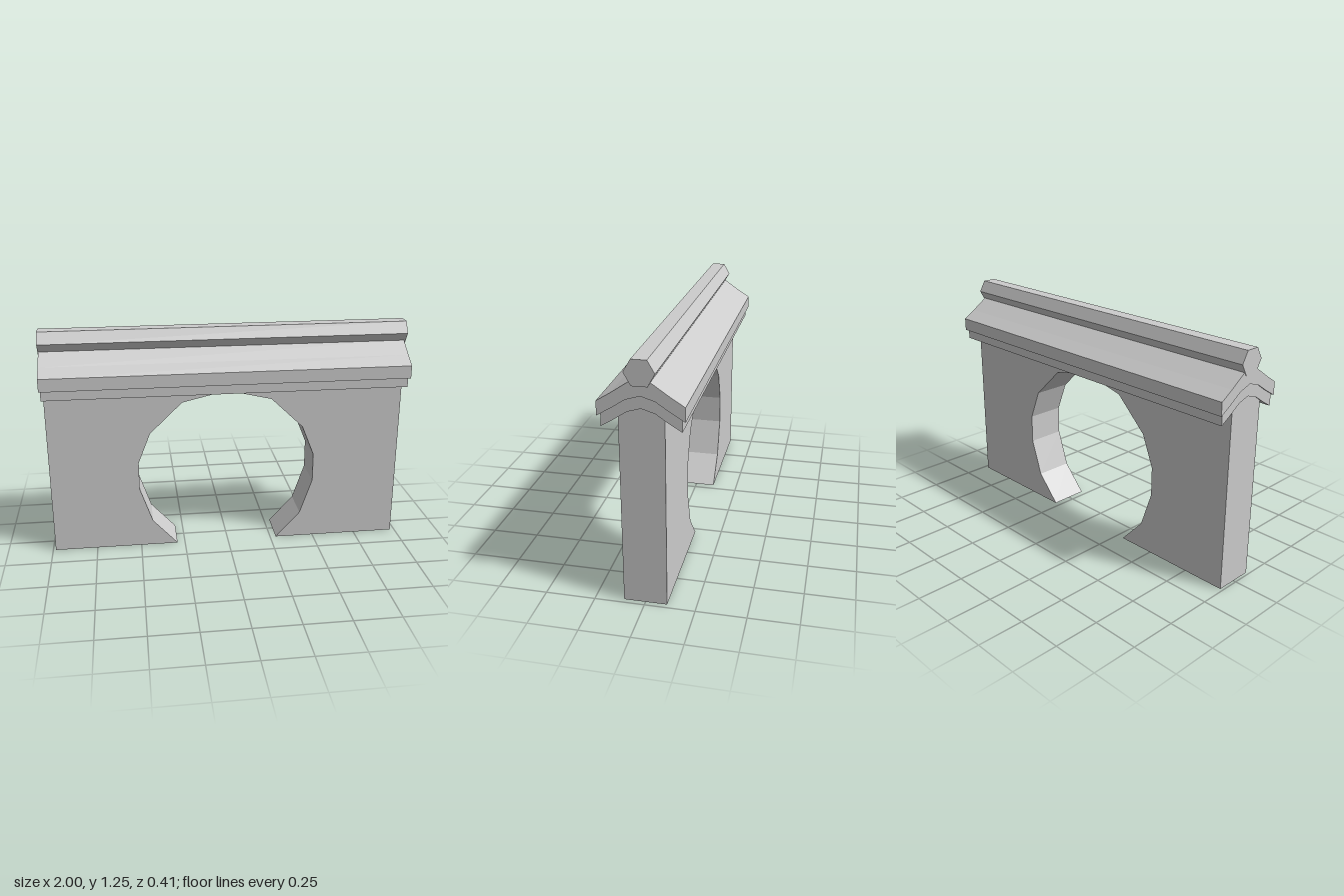
import * as THREE from 'three';

const material = new THREE.MeshStandardMaterial({ color: 0xcccccc, flatShading: true });

// Mirror a half profile [offset, height], listed from the outside to the middle
const mirrored = (half) => [
  ...half,
  ...half.filter(([a]) => a !== 0).reverse().map(([a, y]) => [-a, y]),
];

const shapeOf = (points) => new THREE.Shape(points.map(([a, b]) => new THREE.Vector2(a, b)));

// Extrude a cross-section (z, y) along x between two ends
function beam(name, points, x0, x1) {
  const geometry = new THREE.ExtrudeGeometry(shapeOf(points), { depth: x1 - x0, bevelEnabled: false });
  geometry.rotateY(Math.PI / 2).translate(x0, 0, 0);
  const mesh = new THREE.Mesh(geometry, material);
  mesh.name = name;
  return mesh;
}

export function createModel() {
  const group = new THREE.Group();
  group.name = 'moonGateWall';

  // Curves of the roof layers, from eave to ridge
  const lowerUnder = [[0.187, 0.917], [0.13, 0.951], [0.065, 0.995], [0, 1.015]];
  const upperUnder = [[0.203, 0.97], [0.135, 1.011], [0.068, 1.056], [0, 1.077]];
  const upperTop = [[0.203, 1.04], [0.135, 1.083], [0.045, 1.145], [0, 1.158]];
  const lowerTop = [[0.187, 0.98], ...upperUnder.slice(1)];
  const layer = (under, top) => [...mirrored(under), ...mirrored(top).reverse()];

  // Wall with a faceted round opening that reaches the ground
  const wallTop = 0.965, halfDepth = 0.1075, cx = -0.005;
  const opening = mirrored([
    [0.288, 0], [0.425, 0.15], [0.493, 0.35], [0.493, 0.51], [0.425, 0.68], [0.246, 0.852], [0, 0.91],
  ]);
  const outline = [[-0.98, 0], [-0.98, wallTop], [0.98, wallTop], [0.98, 0], ...opening];
  const wallGeometry = new THREE.ExtrudeGeometry(shapeOf(outline), { depth: 2 * halfDepth, bevelEnabled: false });
  wallGeometry.translate(cx, 0, -halfDepth);
  const wall = new THREE.Mesh(wallGeometry, material);
  wall.name = 'wall';
  group.add(wall);

  // Wall crown filling the space below the roof
  const crown = mirrored([[halfDepth, wallTop], [0.065, 0.995], [0, 1.015]]);
  group.add(beam('wallCrown', crown, cx - 0.98, cx + 0.98));

  // Two stacked roof layers
  group.add(beam('lowerRoof', layer(lowerUnder, lowerTop), -0.99, 0.98));
  group.add(beam('upperRoof', layer(upperUnder, upperTop), -0.997, 0.99));

  // Hexagonal ridge beam
  const ridge = mirrored([[0.037, 1.125], [0.072, 1.187], [0.037, 1.248]]);
  group.add(beam('ridgeBeam', ridge, -1, 1));

  return group;
}
